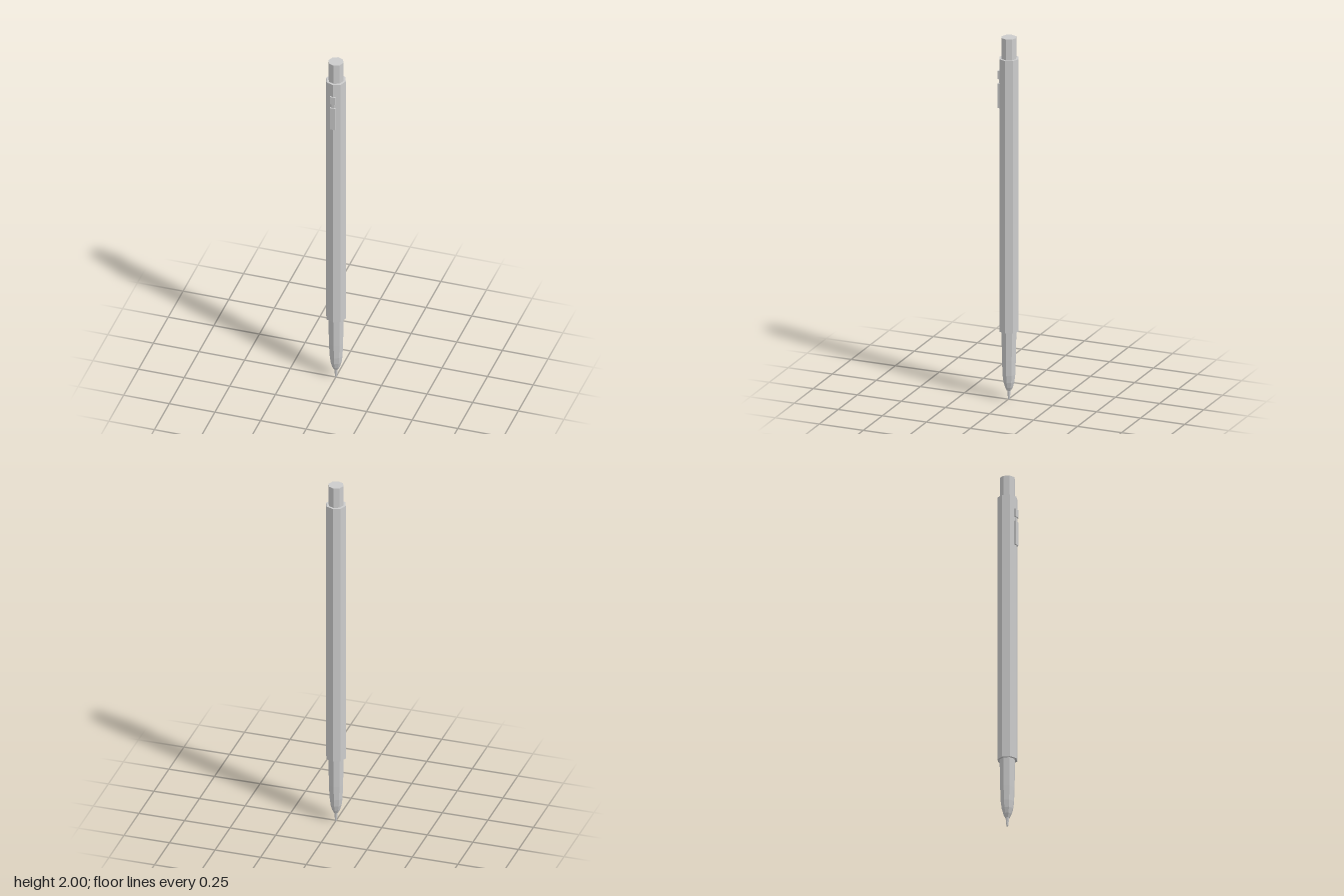
import * as THREE from 'three';

const SIDES = 8;
const AXIS_Z = -0.003; // barrel sits slightly back, clip makes up the depth

export function createModel() {
  const group = new THREE.Group();
  const material = new THREE.MeshStandardMaterial({ color: 0xcccccc, flatShading: true });

  const add = (name, geometry, x, y, z) => {
    const mesh = new THREE.Mesh(geometry, material);
    mesh.name = name;
    mesh.position.set(x, y, z);
    group.add(mesh);
  };

  // Octagonal rod between two heights
  const rod = (name, radius, y0, y1) =>
    add(name, new THREE.CylinderGeometry(radius, radius, y1 - y0, SIDES), 0, (y0 + y1) / 2, AXIS_Z);

  // Octagonal turned part from [radius, height] points, bottom to top
  const turned = (name, points) =>
    add(name, new THREE.LatheGeometry(points.map(([r, y]) => new THREE.Vector2(r, y)), SIDES), 0, 0, AXIS_Z);

  // Box on the front face of the barrel
  const plate = (name, width, y0, y1, z0, z1) =>
    add(name, new THREE.BoxGeometry(width, y1 - y0, z1 - z0), 0, (y0 + y1) / 2, (z0 + z1) / 2);

  // Barrel and push button
  rod('barrel', 0.054, 0.38, 1.885);
  rod('pushButton', 0.041, 1.88, 2);

  // Tapered grip and writing tip
  turned('grip', [
    [0, 0.05], [0.012, 0.05], [0.022, 0.07], [0.031, 0.1],
    [0.036, 0.14], [0.039, 0.22], [0.042, 0.385],
  ]);
  turned('nib', [[0, 0], [0.005, 0.003], [0.007, 0.02], [0.01, 0.055]]);

  // Slider and small button on the front, joined by a narrow neck
  plate('slider', 0.03, 1.605, 1.74, 0.04, 0.056);
  plate('sliderNeck', 0.012, 1.735, 1.77, 0.04, 0.051);
  plate('smallButton', 0.03, 1.765, 1.81, 0.04, 0.056);

  return group;
}
